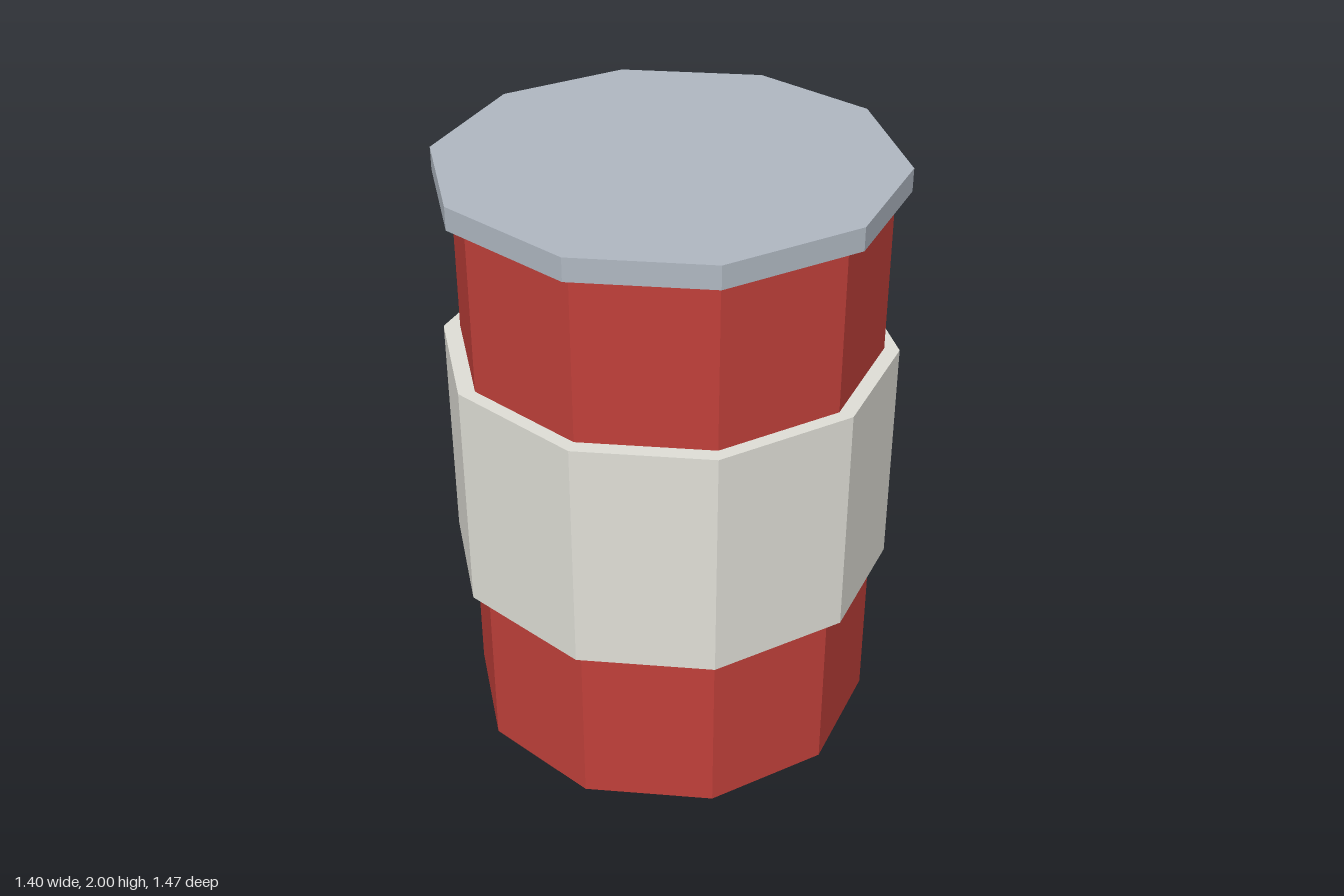
import * as THREE from 'three';

// Upright ten-sided prism from [x, z] corners, optionally hollow
function prism(corners, y0, y1, hole) {
  const toPoints = (list) => list.map(([x, z]) => new THREE.Vector2(x, -z));
  const shape = new THREE.Shape(toPoints(corners));
  if (hole) shape.holes.push(new THREE.Path(toPoints(hole)));
  const geometry = new THREE.ExtrudeGeometry(shape, { depth: y1 - y0, bevelEnabled: false });
  return geometry.rotateX(-Math.PI / 2).translate(0, y0, 0);
}

export function createModel() {
  const group = new THREE.Group();
  group.name = 'barrel';
  const material = (name, color) => new THREE.MeshStandardMaterial({ name, color, flatShading: true });
  const red = material('red paint', 0xc0403a);
  const white = material('off-white band', 0xe0dfd7);
  const grey = material('grey metal', 0xb0b8c2);

  // Regular decagon for the body, slightly uneven one for band and lid
  const inner = Array.from({ length: 10 }, (_, i) => {
    const a = (i * Math.PI) / 5;
    return [0.685 * Math.sin(a) - 0.004, 0.685 * Math.cos(a)];
  });
  const outer = [
    [0.003, 0.733], [0.42, 0.599], [0.697, 0.217], [0.697, -0.221], [0.42, -0.603],
    [0.003, -0.737], [-0.444, -0.592], [-0.7, -0.239], [-0.7, 0.234], [-0.444, 0.588],
  ];

  const add = (name, geometry, mat) => {
    const mesh = new THREE.Mesh(geometry, mat);
    mesh.name = name;
    group.add(mesh);
  };
  add('body', prism(inner, 0, 1.93), red);
  add('band', prism(outer, 0.595, 1.375, inner), white);
  add('lid', prism(outer, 1.925, 2), grey);
  return group;
}
